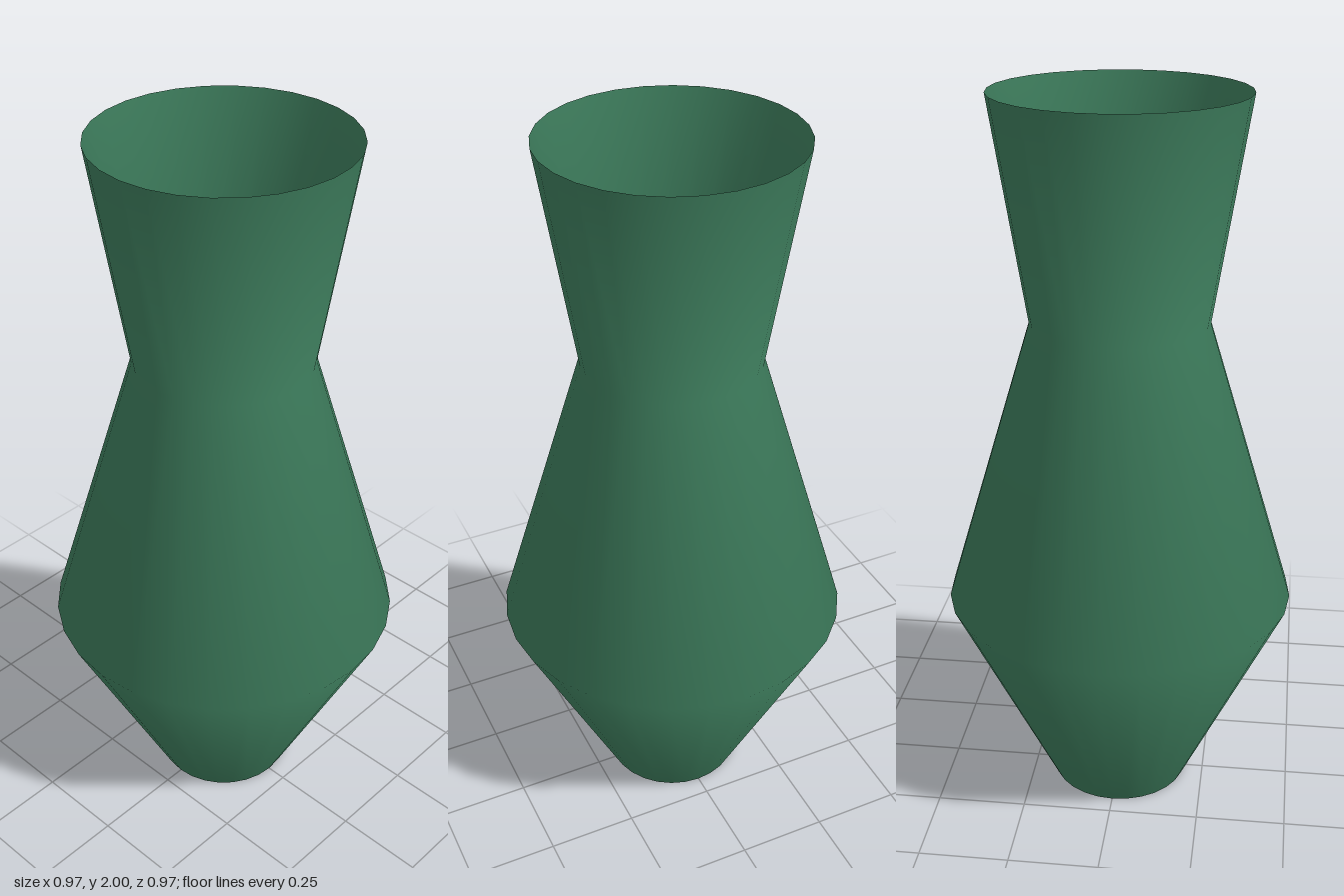
import * as THREE from 'three';
import { mergeVertices } from 'three/addons/utils/BufferGeometryUtils.js';

const SIDES = 28;
const BASE_RADIUS = 0.193;

export function createModel() {
  const vase = new THREE.Group();
  vase.name = 'vase';

  const greenGlaze = new THREE.MeshStandardMaterial({ color: 0x3d7c5c });
  greenGlaze.name = 'green glaze';
  greenGlaze.side = THREE.DoubleSide;

  // Thin open wall: base, belly, neck, rim
  const profile = [
    [BASE_RADIUS, 0],
    [0.484, 0.6],
    [0.242, 1.4],
    [0.338, 2],
  ].map(([r, y]) => new THREE.Vector2(r, y));
  let wall = new THREE.LatheGeometry(profile, SIDES);
  // Weld the seam so the wall shades smoothly all round
  wall.deleteAttribute('normal');
  wall.deleteAttribute('uv');
  wall = mergeVertices(wall);
  wall.computeVertexNormals();
  const body = new THREE.Mesh(wall, greenGlaze);
  body.name = 'body';
  vase.add(body);

  // Flat floor closing the bottom, facing down
  const floor = new THREE.Mesh(new THREE.CircleGeometry(BASE_RADIUS, SIDES), greenGlaze);
  floor.name = 'floor';
  floor.rotation.x = Math.PI / 2;
  vase.add(floor);

  return vase;
}
